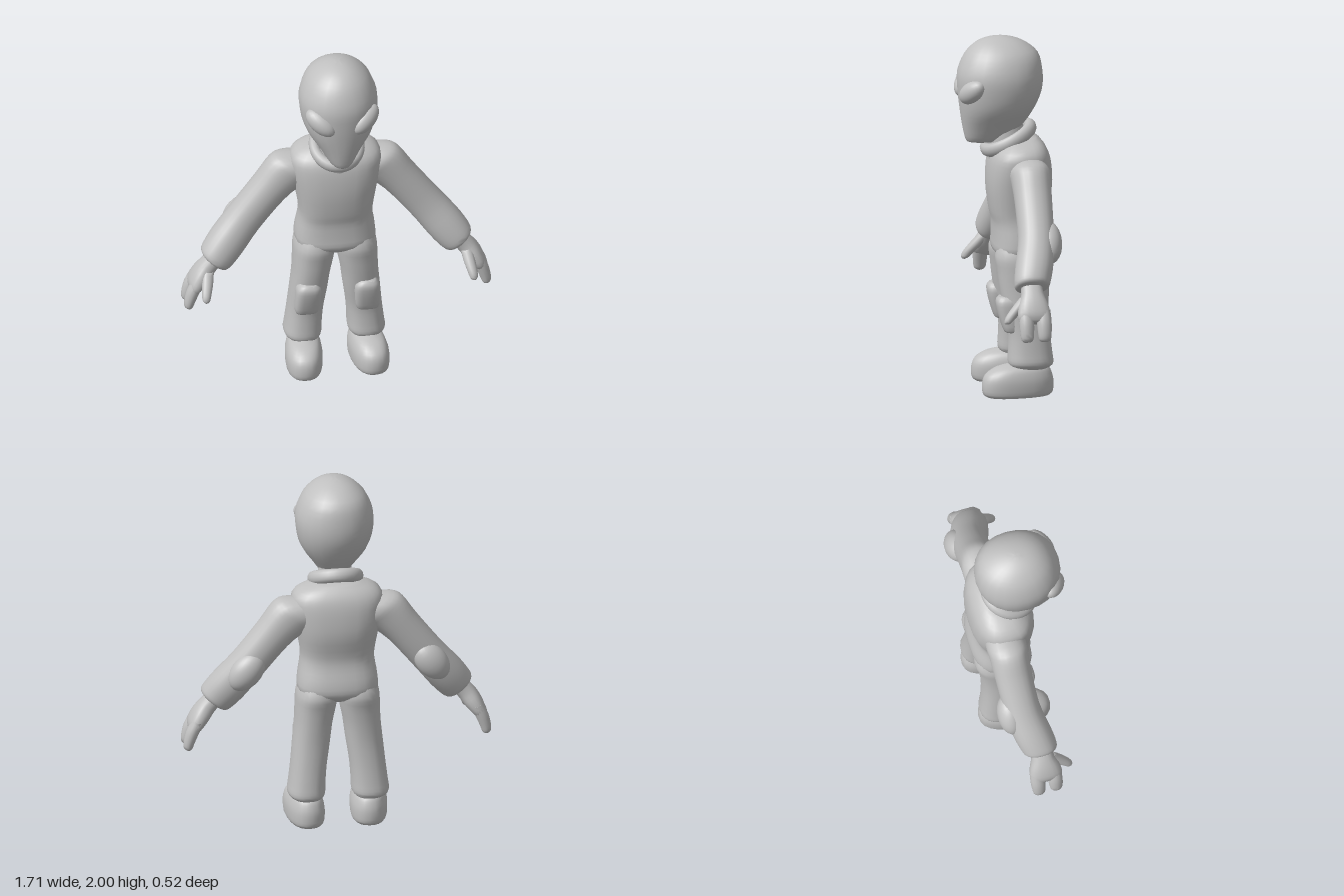
import * as THREE from 'three';
import { toCreasedNormals } from 'three/addons/utils/BufferGeometryUtils.js';

const grey = new THREE.MeshStandardMaterial({ color: 0xc0c0c0 });
grey.name = 'plain grey';

// Smooth interpolation of cross-section rows
function refine(rows, steps) {
  const out = [];
  for (let i = 0; i < rows.length - 1; i++) {
    const p0 = rows[Math.max(0, i - 1)], p1 = rows[i], p2 = rows[i + 1], p3 = rows[Math.min(rows.length - 1, i + 2)];
    for (let s = 0; s < steps; s++) {
      const t = s / steps;
      out.push(p1.map((v, k) => 0.5 * (2 * v + (p2[k] - p0[k]) * t
        + (2 * p0[k] - 5 * v + 4 * p2[k] - p3[k]) * t * t
        + (3 * v - p0[k] - 3 * p2[k] + p3[k]) * t * t * t)));
    }
  }
  out.push(rows[rows.length - 1]);
  return out;
}

// Loft of rounded sections; rows are [x, y, z, halfU, halfZ], sections span u and z
function loft(rows, { u = [1, 0], power = 2, sides = 24, steps = 3, crease = 0.9 } = {}) {
  const first = rows[0], last = rows[rows.length - 1];
  const r = [[...first.slice(0, 3), 0, 0], ...refine(rows, steps), [...last.slice(0, 3), 0, 0]];
  const pos = [], index = [];
  const round = (v) => Math.sign(v) * Math.abs(v) ** (2 / power);
  for (const [x, y, z, a, b] of r) {
    for (let j = 0; j < sides; j++) {
      const t = j / sides * Math.PI * 2;
      const p = Math.max(a, 0) * round(Math.cos(t)), q = Math.max(b, 0) * round(Math.sin(t));
      pos.push(x + u[0] * p, y + u[1] * p, z + q);
    }
  }
  // u cross z gives the facing of the sections
  const flip = u[1] * (last[0] - first[0]) - u[0] * (last[1] - first[1]) < 0;
  for (let i = 0; i < r.length - 1; i++) {
    for (let j = 0; j < sides; j++) {
      const k = (j + 1) % sides;
      const a = i * sides + j, b = i * sides + k, c = a + sides, d = b + sides;
      const tris = [];
      if (i > 0) tris.push([a, b, c]);
      if (i === 0) tris.push([b, d, c]);
      else if (i < r.length - 2) tris.push([b, d, c]);
      for (const [p, q, s] of tris) index.push(...(flip ? [p, s, q] : [p, q, s]));
    }
  }
  const g = new THREE.BufferGeometry();
  g.setAttribute('position', new THREE.Float32BufferAttribute(pos, 3));
  g.setIndex(index);
  return toCreasedNormals(g, crease);
}

// Upright section given by its limits
const band = (y, x0, x1, z0, z1) => [(x0 + x1) / 2, y, (z0 + z1) / 2, (x1 - x0) / 2, (z1 - z0) / 2];
const wide = (y, w, z0, z1) => band(y, -w, w, z0, z1);

export function createModel() {
  const model = new THREE.Group();
  model.name = 'figure';
  const add = (name, geo) => {
    const m = new THREE.Mesh(geo, grey);
    m.name = name;
    model.add(m);
    return m;
  };
  const blob = (name, p, scale, rot) => {
    const m = add(name, new THREE.SphereGeometry(1, 24, 16));
    m.position.set(...p);
    m.scale.set(...scale);
    m.rotation.set(...rot);
  };

  // Head: broad skull narrowing to a small chin
  add('head', loft([
    wide(1.405, 0.045, 0.03, 0.2), wide(1.42, 0.07, -0.02, 0.218), wide(1.5, 0.12, -0.1, 0.237),
    wide(1.6, 0.185, -0.165, 0.252), wide(1.7, 0.212, -0.205, 0.262), wide(1.8, 0.214, -0.21, 0.262),
    wide(1.9, 0.175, -0.185, 0.222), wide(1.96, 0.115, -0.115, 0.165), wide(1.99, 0.055, -0.04, 0.1),
    wide(2, 0.005, 0.02, 0.03),
  ], { power: 2.15, crease: 1.2 }));

  // Neck and tilted collar
  add('neck', loft([wide(1.3, 0.11, -0.14, 0.09), wide(1.42, 0.1, -0.12, 0.1), wide(1.53, 0.08, -0.09, 0.09)]));
  const collar = add('collar', new THREE.TorusGeometry(0.125, 0.03, 12, 32));
  collar.position.set(0, 1.42, -0.02);
  collar.rotation.x = Math.PI / 2 + 0.47;
  collar.scale.set(1, 1.1, 1.3);

  // Torso: shoulders, waist, hips
  add('torso', loft([
    wide(0.74, 0.12, -0.19, 0.01), wide(0.79, 0.215, -0.25, 0.068), wide(0.86, 0.222, -0.252, 0.07), wide(0.95, 0.208, -0.23, 0.07),
    wide(1.02, 0.206, -0.228, 0.085), wide(1.15, 0.228, -0.255, 0.1), wide(1.27, 0.25, -0.252, 0.095),
    wide(1.35, 0.25, -0.235, 0.075), wide(1.4, 0.2, -0.205, 0.03), wide(1.43, 0.11, -0.17, -0.01),
  ], { power: 2.7, crease: 1.2 }));

  for (const s of [1, -1]) {
    const side = s > 0 ? 'left' : 'right';
    const flipX = (rows) => rows.map(([x, ...rest]) => [x * s, ...rest]);

    // Slanted eye
    blob(side + 'Eye', [0.125 * s, 1.715, 0.2], [0.1, 0.058, 0.055], [0, 0.6 * s, 0.6 * s]);

    // Trouser leg with a turned-in cuff
    add(side + 'Leg', loft(flipX([
      band(0.86, 0.02, 0.2, -0.22, 0.04), band(0.78, 0.0, 0.228, -0.252, 0.07), band(0.7, 0.01, 0.234, -0.238, 0.062),
      band(0.6, 0.03, 0.238, -0.226, 0.05), band(0.48, 0.045, 0.25, -0.22, 0.03), band(0.35, 0.064, 0.263, -0.226, 0.008),
      band(0.25, 0.072, 0.275, -0.236, 0.008), band(0.19, 0.074, 0.282, -0.242, 0.01), band(0.165, 0.085, 0.265, -0.23, -0.005),
      band(0.15, 0.11, 0.24, -0.2, -0.04),
    ]), { power: 2.4 }));

    // Knee pad
    add(side + 'KneePad', loft(flipX([
      band(0.36, 0.12, 0.22, -0.06, 0.022), band(0.375, 0.105, 0.235, -0.06, 0.036), band(0.46, 0.095, 0.235, -0.06, 0.062),
      band(0.53, 0.095, 0.23, -0.06, 0.074), band(0.56, 0.12, 0.21, -0.06, 0.06),
    ]), { power: 3 }));

    // Chunky boot, toes turned slightly out
    const boot = add(side + 'Boot', loft([
      band(0, -0.092, 0.092, -0.18, 0.18), band(0.02, -0.101, 0.101, -0.197, 0.199), band(0.08, -0.103, 0.103, -0.2, 0.2),
      band(0.125, -0.094, 0.094, -0.19, 0.18), band(0.16, -0.075, 0.075, -0.17, 0.125), band(0.18, -0.035, 0.035, -0.13, 0.05),
    ], { power: 2.4 }));
    boot.position.set(0.18 * s, 0, -0.045);
    boot.rotation.y = 0.1 * s;

    // Sleeve
    const across = [0.78 * s, 0.63];
    add(side + 'Sleeve', loft(flipX([
      [0.13, 1.28, -0.11, 0.11, 0.09], [0.21, 1.265, -0.105, 0.13, 0.11], [0.27, 1.235, -0.104, 0.125, 0.108],
      [0.36, 1.14, -0.103, 0.106, 0.103], [0.5, 0.965, -0.095, 0.102, 0.1], [0.6, 0.84, -0.07, 0.106, 0.106],
      [0.66, 0.765, -0.05, 0.1, 0.102], [0.683, 0.738, -0.045, 0.088, 0.092], [0.688, 0.73, -0.045, 0.06, 0.065],
    ]), { u: across, power: 2.2 }));

    // Elbow pad
    blob(side + 'ElbowPad', [0.515 * s, 0.945, -0.165], [0.125, 0.085, 0.072], [0, 0, -0.89 * s]);

    // Palm, two fingers and a thumb
    add(side + 'Palm', loft(flipX([
      [0.66, 0.76, -0.04, 0.05, 0.06], [0.715, 0.705, -0.04, 0.05, 0.062], [0.755, 0.65, -0.04, 0.051, 0.083],
      [0.79, 0.595, -0.04, 0.042, 0.092], [0.803, 0.565, -0.04, 0.026, 0.08],
    ]), { u: [0.84 * s, 0.54], power: 2.4, sides: 20 }));
    for (const [name, z] of [['FrontFinger', 0.006], ['BackFinger', -0.092]]) {
      add(side + name, loft(flipX([
        [0.775, 0.63, z, 0.035, 0.038], [0.805, 0.57, z, 0.036, 0.041], [0.825, 0.51, z, 0.031, 0.038],
        [0.832, 0.475, z, 0.025, 0.032], [0.833, 0.462, z, 0.013, 0.016],
      ]), { u: [0.97 * s, 0.22], sides: 14 }));
    }
    add(side + 'Thumb', loft(flipX([
      [0.72, 0.69, 0.0, 0.032, 0.03], [0.73, 0.64, 0.038, 0.032, 0.036], [0.742, 0.59, 0.08, 0.027, 0.032],
      [0.748, 0.56, 0.1, 0.022, 0.022], [0.75, 0.548, 0.106, 0.01, 0.01],
    ]), { u: [0.97 * s, 0.22], sides: 14 }));
  }
  return model;
}
